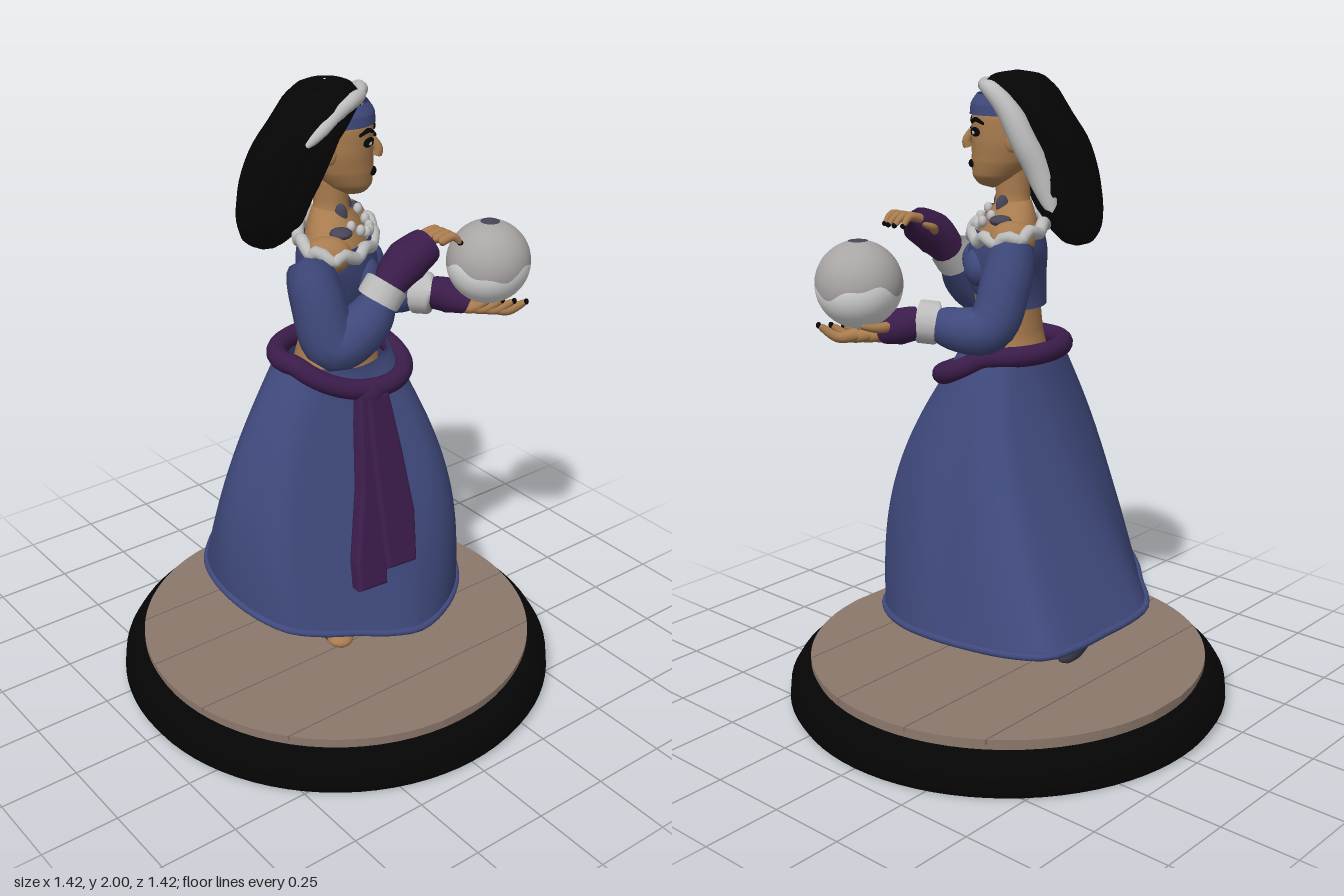
import * as THREE from 'three';
import { ParametricGeometry } from 'three/addons/geometries/ParametricGeometry.js';

const mat = (name, color, double) => {
  const m = new THREE.MeshStandardMaterial({ color });
  m.name = name;
  if (double) m.side = THREE.DoubleSide;
  return m;
};
const V = (p) => new THREE.Vector3(...p);

export function createModel() {
  const black = mat('black', 0x050505), blue = mat('blue', 0x3f497c, true), purple = mat('purple', 0x3b1c4a);
  const wood = mat('wood', 0x8c786c), skin = mat('skin', 0xa87b4e), white = mat('white', 0xbcbcbc);
  const glass = mat('orb grey', 0xaaa5a5), slate = mat('slate', 0x464456), snow = mat('orb white', 0xdedede);

  const root = new THREE.Group();
  root.name = 'fortuneTeller';
  // Upper body is built facing +z, then turned
  const body = new THREE.Group();
  body.name = 'upperBody';
  body.rotation.y = Math.PI * 0.75;
  root.add(body);

  const add = (name, geo, m, parent = root) => {
    const mesh = new THREE.Mesh(geo, m);
    mesh.name = name;
    parent.add(mesh);
    return mesh;
  };
  // Tapered tube with rounded ends
  const limb = (name, pts, radii, m, parent = root, closed = false) => {
    const path = new THREE.CatmullRomCurve3(pts.map(V), closed);
    const seg = closed ? 72 : 28, sides = 14;
    const geo = new THREE.TubeGeometry(path, seg, 1, sides, closed);
    const p = geo.attributes.position, v = new THREE.Vector3();
    for (let i = 0; i <= seg; i++) {
      const t = i / seg, c = path.getPointAt(t), f = t * (radii.length - 1), k = Math.min(Math.floor(f), radii.length - 2);
      let r = radii.length > 1 ? THREE.MathUtils.lerp(radii[k], radii[k + 1], f - k) : radii[0];
      if (!closed) r *= Math.sqrt(Math.max(0, 1 - Math.abs(2 * t - 1) ** 14));
      for (let j = 0; j <= sides; j++) {
        const n = i * (sides + 1) + j;
        v.fromBufferAttribute(p, n).sub(c).multiplyScalar(r).add(c);
        p.setXYZ(n, v.x, v.y, v.z);
      }
    }
    return add(name, geo, m, parent);
  };
  // Elliptic sections, top to bottom: [y, cx, cz, rx, rz]
  const loft = (name, rows, m, parent = body, wave = 0) => {
    const a = new THREE.CatmullRomCurve3(rows.map((r) => V([r[0], r[1], r[2]])));
    const b = new THREE.CatmullRomCurve3(rows.map((r) => V([r[3], r[4], 0])));
    return add(name, new ParametricGeometry((u, v, out) => {
      const c = a.getPoint(v), r = b.getPoint(v), t = u * Math.PI * 2;
      const w = 1 + wave * Math.sin(t * 9 + v * 5) * Math.min(1, v * 2);
      out.set(c.y + Math.cos(t) * r.x * w, c.x, c.z + Math.sin(t) * r.y * w);
    }, 48, 32), m, parent);
  };
  const ball = (name, pos, size, m, parent = body) => {
    const mesh = add(name, new THREE.SphereGeometry(1, 18, 12), m, parent);
    mesh.position.set(...pos);
    mesh.scale.set(...size);
    return mesh;
  };
  const ring = (n, fn) => Array.from({ length: n }, (_, i) => fn((i / n) * Math.PI * 2));

  // Round base
  const prof = [[0.001, 0], [0.695, 0], [0.71, 0.025], [0.705, 0.075], [0.685, 0.108], [0.65, 0.12], [0.001, 0.12]];
  add('baseRim', new THREE.LatheGeometry(prof.map((p) => new THREE.Vector2(...p)), 80), black);
  add('floor', new THREE.CylinderGeometry(0.632, 0.632, 0.03, 72), wood).position.y = 0.134;
  // Floorboards cut from the disc
  const cuts = [-0.638, -0.37, -0.14, 0.14, 0.41, 0.638];
  for (let i = 0; i < 5; i++) {
    const x0 = cuts[i] + 0.002, x1 = cuts[i + 1] - 0.002, pts = [];
    const edge = (x) => Math.sqrt(Math.max(0, 0.64 ** 2 - x * x));
    for (let k = 0; k <= 16; k++) pts.push(new THREE.Vector2(x0 + (x1 - x0) * k / 16, -edge(x0 + (x1 - x0) * k / 16)));
    for (let k = 16; k >= 0; k--) pts.push(new THREE.Vector2(x0 + (x1 - x0) * k / 16, edge(x0 + (x1 - x0) * k / 16)));
    const geo = new THREE.ExtrudeGeometry(new THREE.Shape(pts), { depth: 0.018, bevelEnabled: false });
    add('floorboard', geo.rotateX(-Math.PI / 2), wood).position.y = 0.138;
  }

  // Skirt blends a waist ellipse into a swept hem, fuller on the side she faces
  const facing = (a) => Math.max(0, Math.cos(a + Math.PI / 4));
  const hem = new THREE.CatmullRomCurve3([[0.39, -0.04], [0.325, 0.16], [0.23, 0.355], [0.02, 0.42], [-0.19, 0.38], [-0.38, 0.2],
    [-0.5, 0.06], [-0.51, -0.15], [-0.49, -0.37], [-0.42, -0.415], [-0.25, -0.44], [0.06, -0.41], [0.28, -0.28]]
    .map(([x, z]) => V([x, 0.352 - 0.1 * x + 0.15 * Math.max(0, z), z])), true);
  add('skirt', new ParametricGeometry((u, v, out) => {
    const h = hem.getPoint(u % 1), a = Math.atan2(h.z, h.x), full = 1 - (1 - v ** 1.15) ** 3, k = facing(a) ** 6;
    const wx = THREE.MathUtils.lerp(v ** (h.x > 0 ? 1.2 : 1.4), full, k);
    const wz = THREE.MathUtils.lerp(h.z > 0 ? 1 - (1 - v) ** 2.2 : v ** 0.8, full, k);
    const fold = 1 + 0.015 * Math.sin(a * 8) * Math.sin(v * Math.PI);
    out.set(THREE.MathUtils.lerp(0.143 * Math.cos(a), h.x, wx) * fold, THREE.MathUtils.lerp(1.18 - 0.03 * Math.max(0, Math.cos(a)), h.y, v),
      THREE.MathUtils.lerp(0.01 + 0.175 * Math.sin(a), h.z, wz) * fold);
  }, 120, 36), blue);
  limb('skirtHem', hem.getPoints(26).slice(0, 26).map((p) => [p.x, p.y, p.z]), [0.011], blue, root, true);

  // Sash belt, knot and hanging tails
  limb('sashBelt', ring(20, (t) => {
    const s = 1 + 0.3 * facing(t) ** 3;
    return [0.002 + 0.145 * s * Math.cos(t), 1.165 - 0.09 * Math.max(0, Math.cos(t + 0.35)), 0.015 + 0.183 * s * Math.sin(t)];
  }), [0.032], purple, root, true);
  ball('sashKnot', [0.17, 1.06, 0], [0.035, 0.045, 0.055], purple, root);
  const tail = (pts, lift) => {
    const geo = new THREE.ExtrudeGeometry(new THREE.Shape(pts.map(([z, y]) => new THREE.Vector2(-z, y))),
      { depth: 0.025, bevelThickness: 0.012, bevelSize: 0.012, bevelSegments: 3 });
    geo.rotateY(Math.PI / 2);
    const p = geo.attributes.position;
    for (let i = 0; i < p.count; i++) p.setX(i, p.getX(i) + 0.155 + lift + (1.06 - p.getY(i)) * 0.32);
    geo.computeVertexNormals();
    add('sashTail', geo, purple);
  };
  tail([[0.04, 1.06], [0.095, 0.8], [0.16, 0.6], [0.17, 0.53], [0.085, 0.525], [0.03, 0.8], [-0.01, 1.06]], 0);
  tail([[0.02, 1.06], [0.045, 0.8], [0.06, 0.57], [-0.03, 0.565], [-0.055, 0.7], [-0.05, 0.9], [-0.04, 1.06]], 0.012);

  // Legs and heeled shoes
  limb('standingLeg', [[-0.02, 0.6, 0.05], [0, 0.4, 0.05], [0.03, 0.27, 0.055], [0.1, 0.2, 0.07]], [0.1, 0.1, 0.09, 0.04], black);
  limb('standingShoe', [[-0.09, 0.3, 0.05], [-0.02, 0.25, 0.06], [0.08, 0.182, 0.08], [0.17, 0.178, 0.095]], [0.035, 0.045, 0.036, 0.02], slate);
  ball('standingToes', [0.145, 0.19, 0.093], [0.042, 0.022, 0.042], skin, root);
  limb('standingHeel', [[-0.1, 0.34, 0.05], [-0.09, 0.24, 0.05], [-0.075, 0.15, 0.05]], [0.036, 0.028, 0.014], slate);
  ball('standingAnkle', [-0.075, 0.33, 0.05], [0.05, 0.06, 0.05], skin, root);
  limb('raisedLeg', [[-0.12, 0.6, -0.02], [-0.22, 0.45, -0.02], [-0.265, 0.3, -0.02]], [0.08, 0.075, 0.05], black);
  limb('raisedShoe', [[-0.34, 0.36, -0.02], [-0.31, 0.28, -0.02], [-0.26, 0.21, -0.02], [-0.23, 0.205, -0.02]], [0.025, 0.04, 0.035, 0.025], slate);
  ball('raisedFoot', [-0.25, 0.235, -0.025], [0.028, 0.03, 0.035], skin, root);

  // Torso, neck and cropped top
  loft('torso', [[1.62, 0, -0.02, 0.05, 0.05], [1.57, 0, -0.01, 0.13, 0.075], [1.51, 0, 0, 0.185, 0.095], [1.4, 0, 0.01, 0.145, 0.105],
    [1.3, 0, 0, 0.122, 0.1], [1.22, 0, 0, 0.125, 0.108], [1.13, 0, 0, 0.15, 0.13]], skin);
  loft('neck', [[1.74, 0, -0.015, 0.052, 0.054], [1.64, 0, -0.015, 0.05, 0.052], [1.56, 0, -0.015, 0.075, 0.065]], skin);
  loft('top', [[1.54, 0, 0, 0.195, 0.105], [1.48, 0, 0, 0.19, 0.118], [1.4, 0, 0.005, 0.158, 0.122], [1.34, 0, -0.005, 0.138, 0.112], [1.305, 0, -0.02, 0.128, 0.098]], blue);
  limb('furCollar', ring(30, (t) => [0.212 * Math.cos(t), 1.535 + 0.012 * Math.sin(t * 10) - 0.02 * Math.sin(t), 0.11 * Math.sin(t)]),
    [0.019], white, body, true);
  for (const s of [-1, 1]) {
    ball('bust', [0.058 * s, 1.425, 0.08], [0.068, 0.064, 0.058], blue);
    ball('shoulder', [0.165 * s, 1.525, 0], [0.055, 0.055, 0.07], skin);
    ball('shoulderTattoo', [0.115 * s, 1.573, 0.03], [0.034, 0.016, 0.034], slate);
    ball('neckTattoo', [0.045 * s, 1.605, 0.02], [0.013, 0.034, 0.02], slate);
    const leaf = ball('bellyTattoo', [0.055 * s, 1.285, 0.087], [0.055, 0.02, 0.008], slate);
    leaf.rotation.set(0, 0.45 * s, 0.6 * s);
    ball('bellyChain', [0.025 * s, 1.235, 0.108], [0.01, 0.01, 0.01], white);
  }
  for (let i = -3; i <= 3; i++) ball('necklaceBead', [0.026 * i, 1.545 + 0.004 * i * i, 0.1 - 0.005 * i * i], [0.018, 0.018, 0.014], white);
  ball('pendant', [0, 1.26, 0.108], [0.014, 0.026, 0.012], white);

  // Right arm, raised
  limb('rightSleeve', [[0.1, 1.53, 0.18], [0.145, 1.42, 0.18], [0.19, 1.28, 0.15], [0.225, 1.33, 0.07], [0.23, 1.41, 0.005]], [0.07, 0.08, 0.085, 0.08, 0.058], blue);
  limb('rightCuff', [[0.226, 1.39, 0.025], [0.23, 1.445, -0.015]], [0.066], white);
  limb('rightGlove', [[0.228, 1.43, -0.01], [0.236, 1.495, -0.075], [0.25, 1.545, -0.16]], [0.05, 0.066, 0.052], purple);
  // Left arm, holding the orb
  limb('leftSleeve', [[-0.12, 1.53, -0.11], [-0.13, 1.4, -0.16], [-0.11, 1.275, -0.21], [-0.03, 1.265, -0.25], [0.05, 1.285, -0.285]], [0.07, 0.076, 0.076, 0.07, 0.055], blue);
  limb('leftCuff', [[0.03, 1.28, -0.275], [0.085, 1.285, -0.31]], [0.066], white);
  limb('leftGlove', [[0.07, 1.285, -0.31], [0.105, 1.275, -0.355], [0.165, 1.255, -0.4]], [0.05, 0.055, 0.036], purple);
  for (let i = 0; i < 4; i++) {
    const d = (i - 1.5) * 0.026;
    const r = [[0.255 + d, 1.555, -0.15], [0.262 + d, 1.565, -0.195], [0.265 + d, 1.54, -0.238 + Math.abs(d) * 0.4]];
    limb('rightFinger', r, [0.015, 0.013, 0.008], skin);
    ball('rightNail', r[2], [0.007, 0.008, 0.01], black, root);
    const l = [[0.16 + d, 1.25, -0.4 - d], [0.21 + d, 1.242, -0.44 - d], [0.255 + d, 1.275, -0.475 - d]];
    limb('leftFinger', l, [0.021, 0.018, 0.01], skin);
    ball('leftNail', l[2], [0.008, 0.01, 0.008], black, root);
  }
  limb('rightThumb', [[0.22, 1.5, -0.1], [0.18, 1.53, -0.14], [0.185, 1.545, -0.18]], [0.016, 0.014, 0.008], skin);
  limb('leftThumb', [[0.11, 1.28, -0.38], [0.12, 1.28, -0.44], [0.14, 1.29, -0.49]], [0.018, 0.015, 0.008], skin);

  // Crystal orb with a wavy two-tone border and a dark cap
  const orbPart = (name, v0, v1, r, m) => add(name, new ParametricGeometry((u, v, out) => {
    const t = u * Math.PI * 2, wave = 0.13 * Math.sin(3 * t) + 0.06 * Math.sin(7 * t);
    const th = THREE.MathUtils.lerp(v0 + (v0 === 1.62 ? wave : 0), v1 + (v1 === 1.62 ? wave : 0), v);
    out.set(Math.sin(th) * Math.cos(t), Math.cos(th), Math.sin(th) * Math.sin(t)).multiplyScalar(r);
  }, 48, 18), m).position.set(0.2, 1.4, -0.435);
  orbPart('orbUpper', 0.001, 1.62, 0.13, glass);
  orbPart('orbLower', 1.62, 3.14, 0.13, snow);
  orbPart('orbCap', 0.001, 0.23, 0.132, slate);

  // Head and face
  loft('head', [[1.95, 0, 0, 0.03, 0.03], [1.92, 0, 0, 0.075, 0.08], [1.86, 0, 0, 0.098, 0.108], [1.8, 0, 0.005, 0.097, 0.104],
    [1.74, 0, 0.015, 0.085, 0.094], [1.69, 0, 0.035, 0.06, 0.07], [1.665, 0, 0.045, 0.03, 0.038], [1.655, 0, 0.045, 0.004, 0.004]], skin);
  limb('nose', [[0, 1.83, 0.105], [0, 1.795, 0.122], [0, 1.775, 0.118]], [0.01, 0.014, 0.016], skin, body);
  ball('lips', [0, 1.728, 0.108], [0.026, 0.012, 0.01], black);
  for (const s of [-1, 1]) {
    ball('eyeLiner', [0.04 * s, 1.825, 0.1], [0.027, 0.014, 0.009], black).rotation.y = 0.4 * s;
    ball('eyeWhite', [0.04 * s, 1.824, 0.103], [0.018, 0.008, 0.008], white).rotation.y = 0.4 * s;
    ball('iris', [0.038 * s, 1.824, 0.107], [0.007, 0.008, 0.006], black);
    limb('eyebrow', [[0.015 * s, 1.85, 0.108], [0.045 * s, 1.862, 0.099], [0.072 * s, 1.85, 0.075]], [0.005, 0.007, 0.004], black, body);
    ball('ear', [0.097 * s, 1.8, -0.005], [0.012, 0.03, 0.02], skin);
  }

  // Hair, headband and pale front locks
  loft('hair', [[2.0, -0.02, -0.03, 0.004, 0.004], [1.987, -0.02, -0.03, 0.085, 0.075], [1.94, -0.03, -0.04, 0.14, 0.115], [1.88, -0.035, -0.07, 0.165, 0.12],
    [1.8, -0.04, -0.12, 0.17, 0.12], [1.7, -0.045, -0.16, 0.162, 0.115], [1.6, -0.035, -0.185, 0.145, 0.105], [1.53, -0.015, -0.205, 0.11, 0.08],
    [1.49, 0, -0.21, 0.06, 0.045], [1.475, 0, -0.21, 0.004, 0.004]], black, body, 0.035);
  loft('headband', [[1.935, 0, 0, 0.085, 0.092], [1.905, 0, 0, 0.1, 0.111], [1.875, 0, 0, 0.103, 0.114]], blue);
  limb('leftSideLock', [[0.09, 1.93, 0.02], [0.122, 1.85, -0.025], [0.125, 1.75, -0.085], [0.14, 1.64, -0.14]], [0.03, 0.035, 0.04, 0.045], black, body);
  limb('rightSideLock', [[-0.1, 1.93, 0.02], [-0.15, 1.87, -0.01], [-0.155, 1.77, -0.055], [-0.15, 1.64, -0.12]], [0.035, 0.042, 0.045, 0.045], black, body);
  limb('leftPaleLock', [[0, 1.955, 0.075], [0.07, 1.95, 0.055], [0.115, 1.89, 0.005], [0.138, 1.8, -0.04], [0.142, 1.72, -0.08], [0.15, 1.6, -0.12]],
    [0.018, 0.028, 0.038, 0.04, 0.038, 0.02], white, body);
  limb('rightPaleLock', [[0, 1.955, 0.075], [-0.07, 1.955, 0.058], [-0.13, 1.93, 0.02], [-0.18, 1.89, -0.02], [-0.197, 1.85, -0.06]],
    [0.018, 0.022, 0.022, 0.02, 0.01], white, body);
  return root;
}
